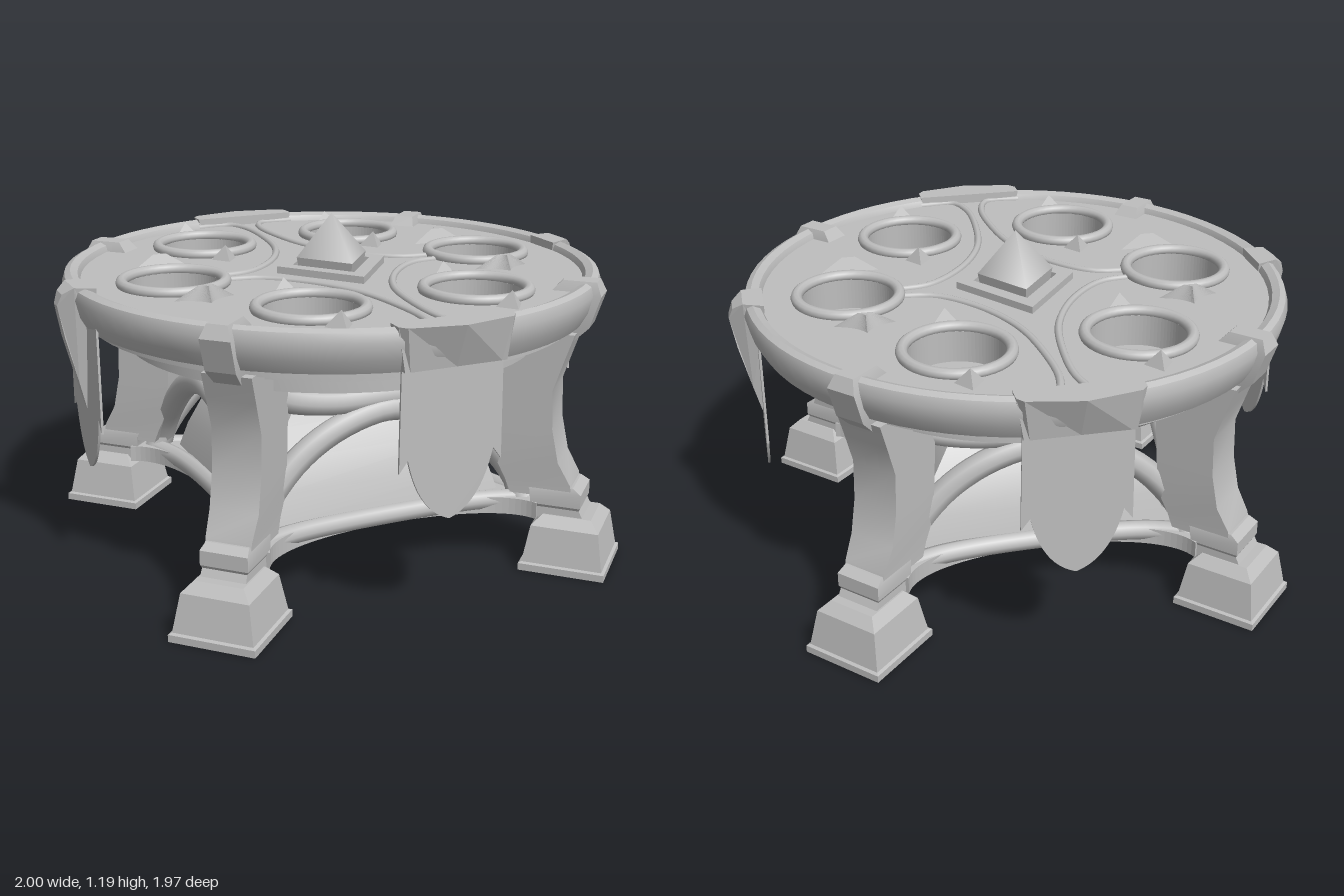
import * as THREE from 'three';
import { toCreasedNormals } from 'three/addons/utils/BufferGeometryUtils.js';

const V3 = (p) => new THREE.Vector3(...p);
const V2 = (p) => new THREE.Vector2(...p);

// Stack of rectangles [y, inner z, outer z, half width], capped at both ends
function loft(rings) {
  const pos = [], idx = [];
  for (const [y, a, b, w] of rings) pos.push(-w, y, b, w, y, b, w, y, a, -w, y, a);
  for (let i = 0; i < rings.length - 1; i++) {
    for (let j = 0; j < 4; j++) {
      const p = i * 4 + j, q = i * 4 + (j + 1) % 4;
      idx.push(p, q, q + 4, p, q + 4, p + 4);
    }
  }
  const t = (rings.length - 1) * 4;
  idx.push(2, 1, 0, 3, 2, 0, t, t + 1, t + 2, t, t + 2, t + 3);
  const g = new THREE.BufferGeometry();
  g.setAttribute('position', new THREE.Float32BufferAttribute(pos, 3));
  g.setIndex(idx);
  return toCreasedNormals(g, 0.45);
}

const lathe = (pts, n = 72) => toCreasedNormals(new THREE.LatheGeometry(pts.map(V2), n), 0.6);
const tube = (pts, r, n = 32, sides = 8) =>
  new THREE.TubeGeometry(new THREE.CatmullRomCurve3(pts.map(V3)), n, r, sides);
const extrude = (shape, depth) =>
  new THREE.ExtrudeGeometry(shape, { depth, bevelEnabled: false, curveSegments: 40 });

// Moves every vertex by a rule and refreshes the normals
function reshape(g, rule) {
  const p = g.attributes.position, v = new THREE.Vector3();
  for (let i = 0; i < p.count; i++) {
    rule(v.fromBufferAttribute(p, i));
    p.setXYZ(i, v.x, v.y, v.z);
  }
  g.computeVertexNormals();
  return g;
}

export function createModel() {
  const model = new THREE.Group();
  model.name = 'roundTable';
  const stone = new THREE.MeshStandardMaterial({ color: 0xbebebe });
  stone.name = 'greyStone';

  const add = (name, geo, parent = model) => {
    const m = new THREE.Mesh(geo, stone);
    m.name = name;
    parent.add(m);
    return m;
  };

  // Table body: stepped underside, rounded rim, recessed bed
  add('tableRim', lathe([[0, 0.85], [0.66, 0.85], [0.66, 0.77], [0.74, 0.77], [0.74, 0.83],
    [0.81, 0.83], [0.81, 0.855], [0.87, 0.855], [0.87, 0.885], [0.91, 0.885], [0.935, 0.93],
    [0.95, 0.99], [0.94, 1.02], [0.92, 1.03], [0.895, 1.02], [0.88, 0.99], [0.88, 0.89], [0, 0.89]]));

  // Top plate with six round wells
  const wells = [[0.59, 0], [-0.59, 0]];
  for (const x of [-0.3, 0.3]) for (const z of [-0.51, 0.51]) wells.push([x, z]);
  const plate = new THREE.Shape().absarc(0, 0, 0.89, 0, Math.PI * 2);
  for (const [x, z] of wells) plate.holes.push(new THREE.Path().absarc(x, z, 0.16, 0, Math.PI * 2, true));
  const top = add('tableTop', extrude(plate, 0.11));
  top.rotation.x = -Math.PI / 2;
  top.position.y = 0.89;

  // Horns: small pyramids, and wide ones with swept-back flanks
  const smallHorn = toCreasedNormals(new THREE.ConeGeometry(1, 0.06, 3).scale(0.06, 1, 0.045), 0.3);
  const sweep = new THREE.Shape();
  sweep.moveTo(-0.12, 0);
  sweep.lineTo(0.12, 0);
  sweep.quadraticCurveTo(0.03, -0.02, 0, -0.08);
  sweep.quadraticCurveTo(-0.03, -0.02, -0.12, 0);
  const wideHorn = reshape(extrude(sweep, 0.06).rotateX(-Math.PI / 2), (v) => {
    if (v.y > 0.03) { v.x *= 0.2; v.z = 0.02 + v.z * 0.3; }
  });

  // Well rims, each with two horns pointing away along z
  for (const [x, z] of wells) {
    const rim = add('wellRim', new THREE.TorusGeometry(0.177, 0.02, 10, 40));
    rim.rotation.x = Math.PI / 2;
    rim.position.set(x, 1.01, z);
    const wide = z === 0;
    for (const s of [-1, 1]) {
      const horn = add('horn', wide ? wideHorn : smallHorn);
      horn.rotation.y = s > 0 ? 0 : Math.PI;
      horn.position.set(wide ? x * 0.95 : x, wide ? 0.99 : 1.025, z + s * 0.23);
    }
  }

  // Raised ridges between the wells
  for (const sx of [-1, 1]) {
    for (const sz of [-1, 1]) {
      const ridge = [[0.42, 0.03], [0.3, 0.05], [0.17, 0.17], [0.07, 0.36], [0.03, 0.58], [0.03, 0.78], [0.07, 0.87], [0.2, 0.87]];
      add('topRidge', tube(ridge.map(([x, z]) => [sx * x, 1.0, sz * z]), 0.013));
    }
  }

  // Diamond frame and pointed centrepiece
  const diamond = (x, z, P) => new P([[x, 0], [0, z], [-x, 0], [0, -z]].map(V2));
  const frame = diamond(0.21, 0.27, THREE.Shape);
  frame.holes.push(diamond(0.15, 0.19, THREE.Path));
  const frameMesh = add('diamondFrame', extrude(frame, 0.04));
  frameMesh.rotation.x = -Math.PI / 2;
  frameMesh.position.y = 0.985;
  const peak = add('centrePeak', toCreasedNormals(
    new THREE.LatheGeometry([[0, 0.98], [0.9, 0.98], [1, 1.05], [0, 1.2]].map(V2), 4), 0.3));
  peak.scale.set(0.135, 1, 0.175);

  // Hanging shields on four sides
  const shield = new THREE.Shape();
  shield.moveTo(-0.175, 0.97);
  shield.lineTo(0.175, 0.97);
  shield.lineTo(0.18, 0.56);
  shield.lineTo(0.15, 0.6);
  shield.quadraticCurveTo(0.11, 0.42, 0, 0.385);
  shield.quadraticCurveTo(-0.11, 0.42, -0.15, 0.6);
  shield.lineTo(-0.18, 0.56);
  shield.closePath();
  const shieldGeo = extrude(shield, 0.008);

  // Peaked cap over the front and back shields
  const capPlan = new THREE.Shape([[-0.2, -0.925], [-0.18, -0.95], [0, -0.985], [0.18, -0.95], [0.2, -0.925], [0.2, -0.87], [-0.2, -0.87]].map(V2));
  const capGeo = reshape(extrude(capPlan, 0.145).rotateX(-Math.PI / 2).translate(0, 0.89, 0), (v) => {
    if (v.y < 0.95) { v.z = Math.min(v.z, 0.925); v.x *= 0.88; }
  });

  // Tapering claw over the side shields, narrowing outwards and downwards
  const clawSide = new THREE.Shape([[0.88, 1.03], [0.95, 1.035], [0.985, 1.01], [1.0, 0.97], [0.98, 0.86], [0.94, 0.7], [0.915, 0.6], [0.908, 0.7], [0.905, 0.88], [0.88, 0.89]].map(V2));
  const clawGeo = reshape(extrude(clawSide, 0.16).rotateY(-Math.PI / 2).translate(0.08, 0, 0), (v) => {
    v.x *= THREE.MathUtils.clamp(0.12 + (v.y - 0.6) * 2.1, 0.12, 1);
    v.x *= THREE.MathUtils.clamp(1 - (v.z - 0.93) * 10, 0.3, 1);
  });

  for (let i = 0; i < 4; i++) {
    const side = new THREE.Group();
    side.name = 'tableSide';
    side.rotation.y = i * Math.PI / 2;
    model.add(side);
    add('shield', shieldGeo, side).position.z = i % 2 ? 0.905 : 0.895;
    if (i % 2) add('shieldClaw', clawGeo, side);
    else add('shieldCap', capGeo, side);

    // Arch, upper rail and floor curb between neighbouring legs
    const span = (pts) => [...pts, ...pts.slice(0, -1).reverse().map(([x, y, z]) => [-x, y, z])];
    add('arch', tube(span([[0.53, 0.22, 0.5], [0.45, 0.36, 0.49], [0.33, 0.49, 0.48], [0.18, 0.58, 0.48], [0, 0.62, 0.48]]), 0.045), side);
    add('upperRail', tube(span([[0.47, 0.74, 0.47], [0.36, 0.69, 0.46], [0.2, 0.66, 0.46], [0, 0.66, 0.46]]), 0.045), side);
    add('floorCurb', tube(span([[0.52, 0.23, 0.54], [0.35, 0.225, 0.48], [0, 0.22, 0.45]]), 0.035), side);
  }

  // Legs on the diagonals
  const post = loft([[0.27, 0.7, 0.92, 0.08], [0.32, 0.68, 0.91, 0.08], [0.4, 0.64, 0.865, 0.085], [0.52, 0.63, 0.84, 0.085],
    [0.66, 0.62, 0.835, 0.085], [0.77, 0.62, 0.87, 0.085], [0.86, 0.62, 0.9, 0.085]]);
  const square = ([y, h]) => [y, 0.905 - h, 0.905 + h, h];
  const foot = loft([[0.15, 0.09], [0.03, 0.13], [0.01, 0.135], [0.01, 0.15], [0.035, 0.15], [0.04, 0.14], [0.17, 0.118], [0.205, 0.085]].map(square));
  const neck = loft([[0.19, 0.785, 0.965, 0.08], [0.23, 0.785, 0.945, 0.078], [0.24, 0.775, 0.95, 0.083], [0.29, 0.77, 0.95, 0.083], [0.31, 0.76, 0.92, 0.075]]);
  const clasp = loft([[0.82, 0.8, 0.88, 0.045], [0.88, 0.8, 0.94, 0.052], [0.99, 0.8, 0.975, 0.052], [1.035, 0.84, 0.955, 0.035]]);
  for (let i = 0; i < 4; i++) {
    const leg = new THREE.Group();
    leg.name = 'leg';
    leg.rotation.y = Math.PI / 4 + i * Math.PI / 2;
    model.add(leg);
    add('legPost', post, leg);
    add('foot', foot, leg);
    add('ankle', neck, leg);
    add('rimClasp', clasp, leg);
  }

  // Cross-shaped lower platform with concave edges reaching to the legs
  const floor = new THREE.Shape();
  floor.moveTo(0.63, 0.5);
  for (let i = 0; i < 4; i++) {
    const turn = (x, y) => V2([x, y]).rotateAround(new THREE.Vector2(), i * Math.PI / 2);
    const [a, b, c, d] = [turn(0.5, 0.63), turn(0.42, 0.39), turn(-0.42, 0.39), turn(-0.5, 0.63)];
    floor.lineTo(a.x, a.y);
    floor.bezierCurveTo(b.x, b.y, c.x, c.y, d.x, d.y);
  }
  const floorMesh = add('lowerPlatform', extrude(floor, 0.06));
  floorMesh.rotation.x = -Math.PI / 2;
  floorMesh.position.y = 0.185;

  // Sloping panels behind the arches, and a shallow vault under the table
  add('panelCore', loft([[0.235, 0.45], [0.34, 0.42], [0.45, 0.375], [0.54, 0.31], [0.6, 0.24]]
    .map(([y, h]) => [y, -h, h, h])));
  add('vault', lathe([[0.22, 0.56], [0.27, 0.62], [0.38, 0.68], [0.52, 0.73], [0.67, 0.775]], 48));

  return model;
}
